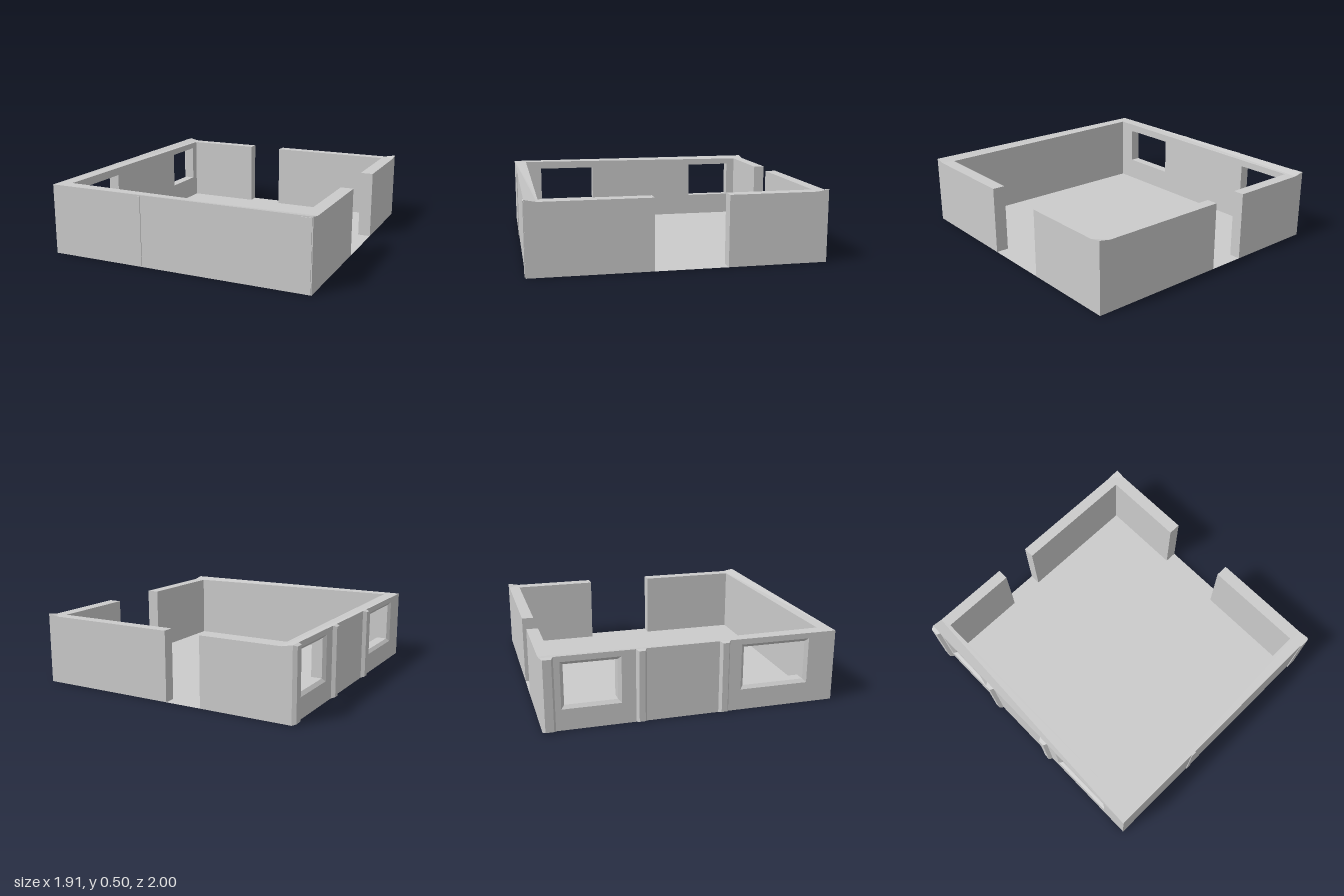
import * as THREE from 'three';

const mat = new THREE.MeshStandardMaterial({ color: 0xcccccc, flatShading: true, side: THREE.DoubleSide });

// Flat-shaded mesh from a list of triangle corners
function facets(name, corners) {
  const g = new THREE.BufferGeometry();
  g.setAttribute('position', new THREE.Float32BufferAttribute(corners.flat(), 3));
  g.computeVertexNormals();
  const m = new THREE.Mesh(g, mat);
  m.name = name;
  return m;
}
const quad = (a, b, c, d) => [a, b, c, a, c, d];

// Horizontal polygon from [x, z, y] points
function sheet(points) {
  const tris = THREE.ShapeUtils.triangulateShape(points.map(([x, z]) => new THREE.Vector2(x, -z)), []);
  return tris.flat().map(i => [points[i][0], points[i][2], points[i][1]]);
}

// Open-bottomed wall run following a plan of [x, z, top] points
function wallRun(name, plan, skip = []) {
  const out = sheet(plan);
  plan.forEach(([x, z, y], i) => {
    if (skip.includes(i)) return;
    const [x2, z2, y2] = plan[(i + 1) % plan.length];
    out.push(...quad([x, 0, z], [x2, 0, z2], [x2, y2, z2], [x, y, z]));
  });
  return facets(name, out);
}

// Strip of faces between upright rectangles [x, y0, y1, z0, z1]
function loft(name, rects, cap) {
  const rings = rects.map(([x, y0, y1, z0, z1]) => [[x, y0, z0], [x, y0, z1], [x, y1, z1], [x, y1, z0]]);
  const out = [];
  for (let r = 0; r < rings.length - 1; r++) {
    for (let i = 0; i < 4; i++) {
      const j = (i + 1) % 4;
      out.push(...quad(rings[r][i], rings[r][j], rings[r + 1][j], rings[r + 1][i]));
    }
  }
  if (cap) out.push(...quad(...rings.at(-1)));
  return facets(name, out);
}

export function createModel() {
  const group = new THREE.Group();
  const H = 0.495, L = 0.48;
  const xo = -0.935, xi = -0.84;

  // Floor, reaching into both doorways
  group.add(facets('floor', sheet([
    [-0.29, -0.92], [xi, -0.92], [xi, 0.9], [0.865, 0.9], [0.865, 0.175], [0.955, 0.175],
    [0.955, -0.32], [0.865, -0.32], [0.865, -0.92], [-0.03, -0.92], [-0.03, -1], [-0.29, -1],
  ].map(([x, z]) => [x, z, 0]))));

  // Long wall run; the left wall's two faces are added below with windows
  group.add(wallRun('mainWalls', [
    [-0.29, -1, L], [-0.86, -1, L], [xo, -1, H], [xo, 0.99, H], [0.955, 0.99, H], [0.955, 0.91, L],
    [0.955, 0.175, L], [0.865, 0.175, L], [0.865, 0.9, L], [xi, 0.9, H], [xi, -0.92, L], [-0.29, -0.92, L],
  ], [2, 9]));

  // Back corner wall run
  group.add(wallRun('cornerWalls', [
    [0.955, -0.32, L], [0.955, -0.92, L], [0.955, -1, H], [0.875, -1, L], [-0.03, -1, L],
    [-0.03, -0.92, L], [0.865, -0.92, L], [0.865, -0.32, L],
  ]));

  // Left wall faces with window holes
  const windows = [[-0.855, -0.51], [0.34, 0.775]];
  const wy0 = 0.165, wy1 = 0.435, rim = 0.022;
  const leftFace = (name, x, z0, z1, yBack, grow) => {
    const s = new THREE.Shape([[z0, 0], [z1, 0], [z1, H], [z0, yBack]].map(p => new THREE.Vector2(...p)));
    for (const [a, b] of windows) {
      s.holes.push(new THREE.Path([
        [a - grow, wy0 - grow], [a - grow, wy1 + grow], [b + grow, wy1 + grow], [b + grow, wy0 - grow],
      ].map(p => new THREE.Vector2(...p))));
    }
    const g = new THREE.ShapeGeometry(s);
    // Shape x becomes model z, facing outward
    g.rotateY(-Math.PI / 2);
    g.translate(x, 0, 0);
    const m = new THREE.Mesh(g, mat);
    m.name = name;
    group.add(m);
    return g;
  };
  leftFace('leftWallOuterFace', xo, -1, 0.99, H, rim);
  const inner = leftFace('leftWallInnerFace', xi, -0.92, 0.9, L, 0);
  // Turn the inner face toward the room
  inner.index.array.reverse();
  inner.computeVertexNormals();

  // Bevelled window reveals
  for (const [a, b] of windows) {
    group.add(loft('windowReveal', [
      [xo, wy0 - rim, wy1 + rim, a - rim, b + rim],
      [xo + 0.02, wy0, wy1, a, b],
      [xi, wy0, wy1, a, b],
    ], false));
  }

  // Tapered posts on the left wall
  for (const [z0, z1] of [[-1, -0.915], [-0.395, -0.325], [0.165, 0.235]]) {
    group.add(loft('leftPost', [
      [xo, 0, H, z0, z1],
      [-0.96, 0.008, 0.487, z0 + 0.015, z1 - 0.015],
    ], true));
  }

  // Very shallow strips on the front wall
  for (const [x, w] of [[-0.255, 0.035], [0.911, 0.075]]) {
    const strip = new THREE.Mesh(new THREE.BoxGeometry(w, 0.479, 0.006), mat);
    strip.position.set(x, 0.2475, 0.993);
    strip.name = 'frontStrip';
    group.add(strip);
  }
  return group;
}
